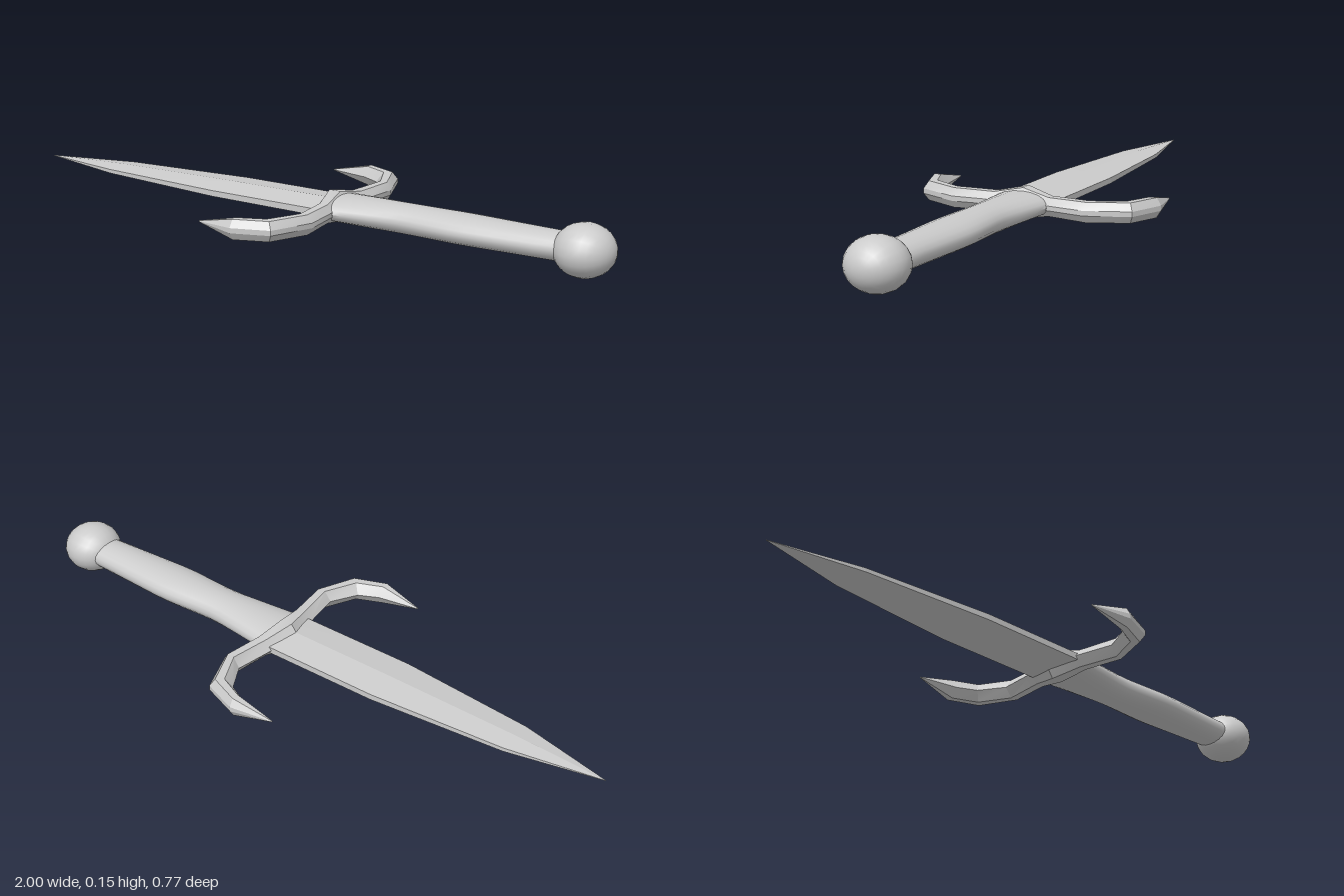
import * as THREE from 'three';
import { toCreasedNormals } from 'three/addons/utils/BufferGeometryUtils.js';

const MID = 0.077; // height of the dagger's long axis

// Skin a list of equal-length rings of [x, y, z] points and cap both ends.
function loft(rings, crease) {
  const n = rings[0].length;
  const index = [];
  for (let i = 0; i < rings.length - 1; i++) {
    for (let j = 0; j < n; j++) {
      const a = i * n + j, b = i * n + (j + 1) % n;
      index.push(a, b, a + n, b, b + n, a + n);
    }
  }
  const last = (rings.length - 1) * n;
  for (let j = 1; j < n - 1; j++) {
    index.push(0, j + 1, j, last, last + j, last + j + 1);
  }
  const geo = new THREE.BufferGeometry();
  geo.setAttribute('position', new THREE.Float32BufferAttribute(rings.flat(2), 3));
  geo.setIndex(index);
  return toCreasedNormals(geo, crease);
}

export function createModel() {
  const group = new THREE.Group();
  const add = (name, geo) => {
    const mesh = new THREE.Mesh(geo, new THREE.MeshStandardMaterial({ color: 0xcccccc }));
    mesh.name = name;
    mesh.position.y = MID;
    group.add(mesh);
    return mesh;
  };

  // Blade: x, half width, half thickness at the ridge and at the edge
  const blade = [
    [-1, 0.001, 0.001, 0.0005],
    [-0.71, 0.06, 0.013, 0.006],
    [-0.28, 0.094, 0.02, 0.009],
    [0.12, 0.094, 0.023, 0.01],
  ].map(([x, w, r, e]) => [
    [x, r, 0], [x, e, w], [x, -e, w], [x, -r, 0], [x, -e, -w], [x, e, -w],
  ]);
  add('blade', loft(blade, 0.05));

  // Guard: inner x, z and outer x, z and half height, from the middle to one tip
  const arm = [
    [0.05, 0, 0.145, 0, 0.046],
    [0.085, 0.09, 0.152, 0.09, 0.028],
    [0.105, 0.22, 0.165, 0.215, 0.03],
    [0.06, 0.3, 0.112, 0.345, 0.03],
    [0, 0.33, 0, 0.386, 0.03],
    [-0.13, 0.353, -0.13, 0.357, 0.002],
  ];
  const mirrored = arm.slice(1).reverse().map(([a, b, c, d, h]) => [a, -b, c, -d, h]);
  const section = [[1, 0.25], [0.75, 1], [0.35, 1], [0, 0], [0.35, -1], [0.75, -1], [1, -0.25]];
  const guard = [...mirrored, ...arm].map(([ix, iz, ox, oz, h]) =>
    section.map(([t, v]) => [ix + (ox - ix) * t, v * h, iz + (oz - iz) * t]));
  add('guard', loft(guard, 0.5));

  // Grip: x, half depth, half height, with a soft waist and swell
  const SIDES = 20;
  const profile = new THREE.CatmullRomCurve3([
    [0.1, 0.1, 0.036], [0.15, 0.093, 0.038], [0.24, 0.08, 0.041], [0.35, 0.067, 0.043],
    [0.45, 0.072, 0.043], [0.54, 0.077, 0.043], [0.68, 0.07, 0.042], [0.86, 0.059, 0.041],
  ].map((p) => new THREE.Vector3(...p)));
  const grip = profile.getPoints(16).map((p) =>
    Array.from({ length: SIDES }, (_, j) => {
      const a = (j / SIDES) * Math.PI * 2;
      return [p.x, Math.cos(a) * p.z, Math.sin(a) * p.y];
    }));
  add('grip', loft(grip, 0.7));

  // Pommel: a ball with its poles along the grip
  const ball = new THREE.SphereGeometry(1, 20, 14);
  ball.rotateZ(-Math.PI / 2);
  ball.scale(0.088, 0.077, 0.09);
  add('pommel', ball).position.x = 0.907;

  return group;
}
